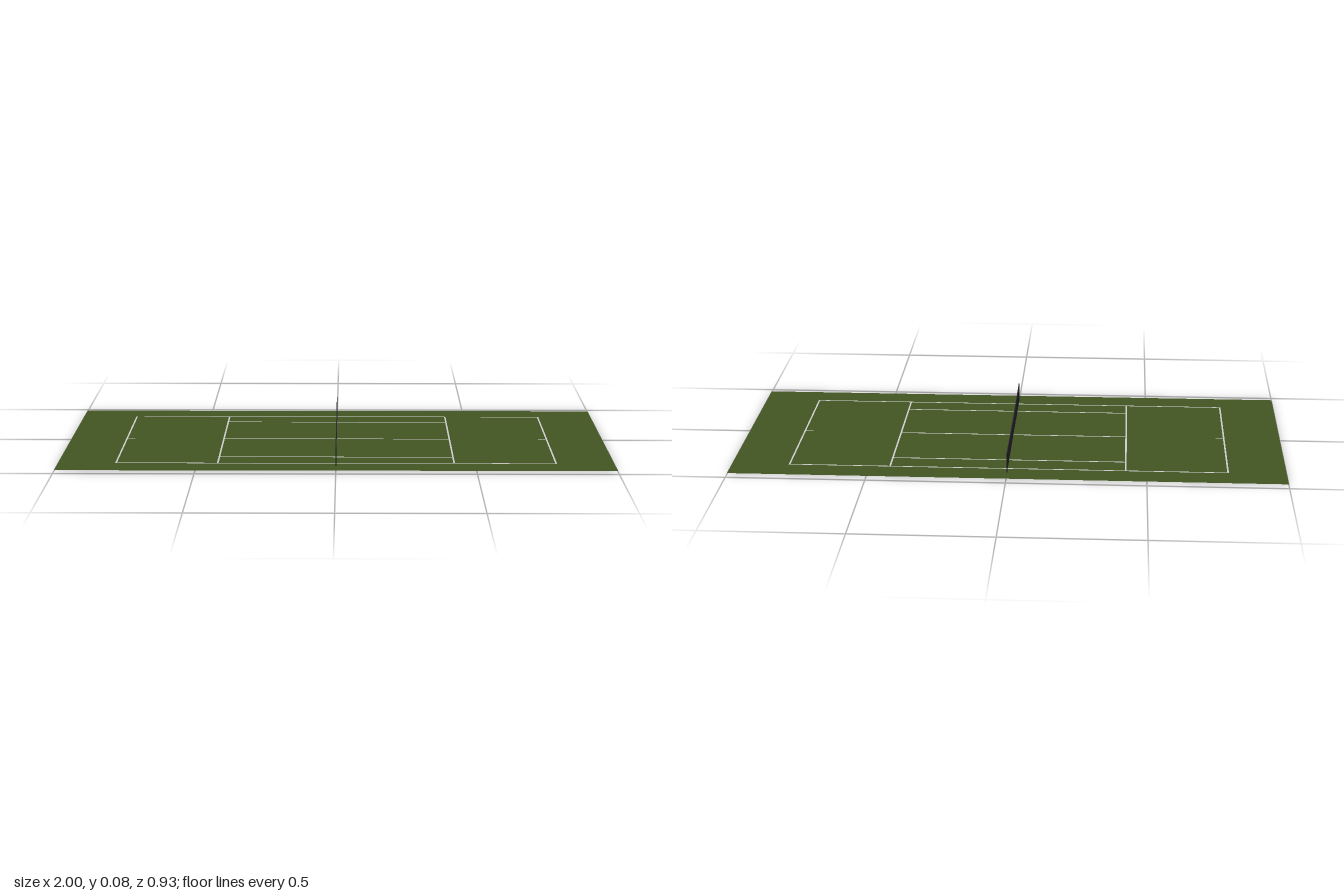
import * as THREE from 'three';
import { mergeGeometries } from 'three/addons/utils/BufferGeometryUtils.js';

const GROUND_Y = 0.004;
const HALF_NET = 0.4;
const NET_T = 0.0011;

// Net edges run straight from the posts down to the middle strap
const lerp = THREE.MathUtils.lerp;
const topAt = z => lerp(0.067, 0.074, Math.abs(z) / HALF_NET);
const bottomAt = z => lerp(0.0007, 0.006, Math.abs(z) / HALF_NET);

export function createModel() {
  const model = new THREE.Group();
  const grass = new THREE.MeshStandardMaterial({ color: 0x435522, side: THREE.DoubleSide });
  const paint = new THREE.MeshStandardMaterial({ color: 0xcccccc });
  const dark = new THREE.MeshStandardMaterial({ color: 0x15151a });
  const tape = new THREE.MeshStandardMaterial({ color: 0x2a2030 });

  const add = (name, geometry, material) => {
    const mesh = new THREE.Mesh(geometry, material);
    mesh.name = name;
    model.add(mesh);
    return mesh;
  };

  // Ground sheet
  add('ground', new THREE.PlaneGeometry(2, 0.934).rotateX(-Math.PI / 2).translate(0, GROUND_Y, 0), grass);

  // Painted lines, showing on both faces of the sheet
  const W = 0.006, L = 0.791, D = 0.364, S = 0.425, A = 0.274;
  const lines = [];
  const line = (x0, x1, z0, z1) => lines.push(
    new THREE.BoxGeometry(x1 - x0 + W, 0.0008, z1 - z0 + W)
      .translate((x0 + x1) / 2, GROUND_Y, (z0 + z1) / 2));
  for (const s of [-1, 1]) {
    line(-L, L, s * D, s * D);       // sidelines
    line(-S, S, s * A, s * A);       // inner sidelines
    line(s * L, s * L, -D, D);       // baselines
    line(s * S, s * S, -D, D);       // service lines
  }
  line(-S, S, 0, 0);                 // centre line
  line(-L, -L + 0.028, 0, 0);        // centre marks
  line(L - 0.028, L, 0, 0);
  add('courtLines', mergeGeometries(lines), paint);

  // Straight strand in the x = 0 plane between two (z, y) points
  const strand = (z0, y0, z1, y1, t, depth = t) =>
    new THREE.BoxGeometry(depth, t, Math.hypot(z1 - z0, y1 - y0))
      .rotateX(-Math.atan2(y1 - y0, z1 - z0))
      .translate(0, (y0 + y1) / 2, (z0 + z1) / 2);

  // Net mesh
  const net = [];
  const rows = 9, columns = 96;
  for (let r = 0; r < rows; r++) {
    const yAt = z => lerp(bottomAt(z), topAt(z), r / rows);
    for (const s of [-1, 1]) net.push(strand(0, yAt(0), s * HALF_NET, yAt(HALF_NET), NET_T));
  }
  for (let c = 0; c <= columns; c++) {
    const z = lerp(-HALF_NET, HALF_NET, c / columns);
    const h = topAt(z) - bottomAt(z);
    net.push(new THREE.BoxGeometry(NET_T, h, NET_T).translate(0, bottomAt(z) + h / 2, z));
  }
  add('netMesh', mergeGeometries(net), dark);

  // Top band and middle strap
  add('netBand', mergeGeometries([-1, 1].map(s =>
    strand(0, topAt(0), s * HALF_NET, topAt(HALF_NET), 0.003, 0.003))), tape);
  const strapH = topAt(0) - bottomAt(0);
  add('centreStrap', new THREE.BoxGeometry(0.003, strapH, 0.004)
    .translate(0, bottomAt(0) + strapH / 2, 0), dark);

  // Posts
  for (const s of [-1, 1]) {
    add(s > 0 ? 'frontPost' : 'backPost',
      new THREE.CylinderGeometry(0.002, 0.002, 0.072, 10).translate(0, 0.04, s * (HALF_NET + 0.001)), dark);
  }
  return model;
}
